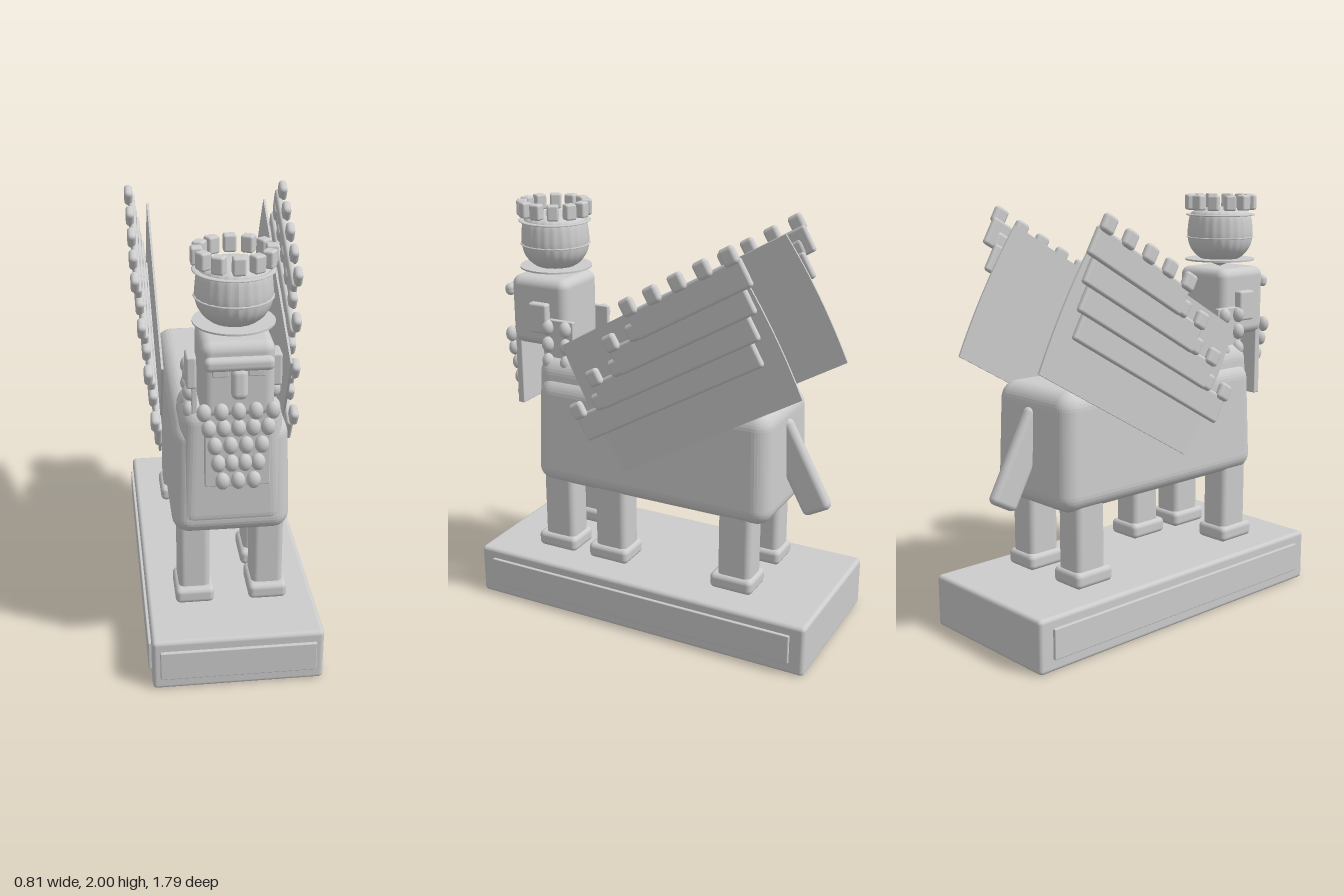
import * as THREE from 'three';
import { RoundedBoxGeometry } from 'three/addons/geometries/RoundedBoxGeometry.js';

const stone = new THREE.MeshStandardMaterial({ color: 0xcccccc });
stone.name = 'stone';

function add(parent, name, geometry, x = 0, y = 0, z = 0) {
  const mesh = new THREE.Mesh(geometry, stone);
  mesh.name = name;
  mesh.position.set(x, y, z);
  parent.add(mesh);
  return mesh;
}

function block(parent, name, w, h, d, x, y, z, r = 0.02) {
  const radius = Math.min(r, 0.49 * Math.min(w, h, d));
  return add(parent, name, new RoundedBoxGeometry(w, h, d, 3, radius), x, y, z);
}

function ball(parent, name, rx, ry, rz, x, y, z) {
  const mesh = add(parent, name, new THREE.SphereGeometry(1, 16, 12), x, y, z);
  mesh.scale.set(rx, ry, rz);
  return mesh;
}

// Narrows a geometry towards its top
function taper(geometry, height, topX, topZ) {
  const p = geometry.attributes.position;
  for (let i = 0; i < p.count; i++) {
    const t = p.getY(i) / height + 0.5;
    p.setX(i, p.getX(i) * (1 + (topX - 1) * t));
    p.setZ(i, p.getZ(i) * (1 + (topZ - 1) * t));
  }
  geometry.computeVertexNormals();
  return geometry;
}

function buildPlinth(parent) {
  const plinth = new THREE.Group();
  plinth.name = 'plinth';
  parent.add(plinth);
  block(plinth, 'plinthBlock', 0.78, 0.255, 1.775, 0, 0.1275, -0.005, 0.02);
  block(plinth, 'frontPanel', 0.71, 0.145, 0.03, 0, 0.132, 0.882, 0.005);
  for (const s of [-1, 1]) block(plinth, 'sidePanel', 0.03, 0.145, 1.63, s * 0.389, 0.132, -0.005, 0.005);
}

function buildBody(parent) {
  const body = new THREE.Group();
  body.name = 'body';
  parent.add(body);
  add(body, 'barrel', taper(new RoundedBoxGeometry(0.54, 0.55, 1.26, 5, 0.08), 0.55, 0.94, 0.97), 0, 0.905, -0.01);
  add(body, 'chest', taper(new RoundedBoxGeometry(0.51, 0.61, 0.33, 5, 0.08), 0.61, 0.87, 0.96), 0, 0.965, 0.457);
  block(body, 'neck', 0.2, 0.15, 0.1, 0, 1.28, 0.535);

  // Five legs: an extra striding leg on one side
  for (const [x, z] of [[0.17, 0.5], [-0.17, 0.5], [0.17, 0.205], [0.17, -0.465], [-0.17, -0.465]]) {
    block(body, 'leg', 0.145, 0.38, 0.17, x, 0.49, z, 0.03);
    block(body, 'foot', 0.18, 0.078, 0.218, x, 0.306, z + 0.008, 0.025);
  }

  block(body, 'tail', 0.06, 0.47, 0.15, 0, 0.86, -0.68, 0.028).rotation.x = 0.5;
}

function buildHead(parent) {
  const head = new THREE.Group();
  head.name = 'head';
  parent.add(head);
  block(head, 'face', 0.31, 0.34, 0.315, 0, 1.47, 0.637, 0.045);
  block(head, 'brow', 0.29, 0.06, 0.05, 0, 1.56, 0.815, 0.024);
  block(head, 'nose', 0.07, 0.135, 0.055, 0, 1.475, 0.82, 0.027).rotation.x = -0.12;

  for (const s of [-1, 1]) {
    block(head, 'eye', 0.07, 0.03, 0.012, s * 0.075, 1.51, 0.795, 0.005);
    block(head, 'ear', 0.045, 0.148, 0.102, s * 0.183, 1.457, 0.61, 0.012);
    // Curled side hair
    block(head, 'hairPanel', 0.025, 0.23, 0.17, s * 0.165, 1.338, 0.512, 0.006);
    for (const y of [1.245, 1.33, 1.415])
      for (const z of [0.465, 0.565]) ball(head, 'hairCurl', 0.03, 0.039, 0.031, s * 0.185, y, z);
  }

  // Beard of curls on a flat panel
  block(head, 'beardPanel', 0.28, 0.36, 0.035, 0, 1.16, 0.768, 0.005);
  const rows = [[5, 0.145, 1.34], [5, 0.125, 1.265], [4, 0.1, 1.183], [4, 0.085, 1.1], [3, 0.067, 1.015]];
  for (const [count, half, y] of rows)
    for (let i = 0; i < count; i++)
      ball(head, 'beardCurl', 0.031, 0.039, 0.028, -half + (2 * half * i) / (count - 1), y, 0.803);
}

function buildHeaddress(parent) {
  const hat = new THREE.Group();
  hat.name = 'headdress';
  hat.position.z = 0.622;
  parent.add(hat);

  // Fluted cap
  const profile = [[0, 1.64], [0.06, 1.665], [0.11, 1.69], [0.148, 1.735], [0.162, 1.79],
    [0.16, 1.85], [0.15, 1.9], [0.125, 1.922], [0.07, 1.935], [0, 1.94]];
  const curve = new THREE.SplineCurve(profile.map(([r, y]) => new THREE.Vector2(r, y)));
  const points = curve.getPoints(30).map((v) => new THREE.Vector2(Math.max(0, v.x), v.y));
  const cap = new THREE.LatheGeometry(points, 96);
  const p = cap.attributes.position;
  for (let i = 0; i < p.count; i++) {
    const f = 1 + 0.012 * Math.cos(24 * Math.atan2(p.getZ(i), p.getX(i)));
    p.setX(i, p.getX(i) * f);
    p.setZ(i, p.getZ(i) * f);
  }
  cap.computeVertexNormals();
  add(hat, 'cap', cap);

  // Thin brim and bands
  add(hat, 'brim', new THREE.CylinderGeometry(0.175, 0.175, 0.008, 48), 0, 1.676, 0);
  for (const [y, r] of [[1.787, 0.155], [1.9, 0.16]]) {
    const band = add(hat, 'band', new THREE.TorusGeometry(r, 0.015, 8, 48), 0, y, 0);
    band.rotation.x = Math.PI / 2;
    band.scale.z = 0.3;
  }

  // Crown of blocks
  for (let i = 0; i < 12; i++) {
    const a = (i / 12) * Math.PI * 2;
    block(hat, 'crownBlock', 0.055, 0.075, 0.05, 0.155 * Math.sin(a), 1.9625, 0.155 * Math.cos(a), 0.01).rotation.y = a;
  }
}

// Wing leaning back; local -z runs towards the tip
function buildWing(parent, s) {
  const wing = new THREE.Group();
  wing.name = s > 0 ? 'leftWing' : 'rightWing';
  wing.position.set(0, 1.34, -0.19);
  wing.rotation.x = Math.PI / 6;
  parent.add(wing);

  // Thin backing plate with bowed ends
  const shape = new THREE.Shape();
  shape.moveTo(-0.507, -0.333);
  shape.lineTo(0.507, -0.333);
  shape.quadraticCurveTo(0.54, 0, 0.507, 0.333);
  shape.lineTo(-0.507, 0.333);
  shape.quadraticCurveTo(-0.54, 0, -0.507, -0.333);
  const plate = new THREE.ExtrudeGeometry(shape, { depth: 0.01, bevelEnabled: false, curveSegments: 12 });
  plate.translate(0, 0, -0.005);
  add(wing, 'wingPlate', plate, s * 0.288, 0, 0).rotation.y = Math.PI / 2;

  // Four overlapping feather rows, each longer and lower than the one above
  for (let k = 0; k < 4; k++) {
    const start = -0.02 - 0.184 * k;
    const end = 0.577 - 0.051 * k;
    const w = 0.357 - 0.111 * k;
    const x = s * (0.365 - 0.02 * k);
    const length = end - start + 0.035;
    block(wing, 'featherRow', 0.032, 0.135, length, x, w - 0.088, -(end + start - 0.035) / 2, 0.014);
    for (let i = 0; i < 5 + k; i++)
      block(wing, 'featherTip', 0.04, 0.082, 0.075, x + s * 0.016, w, -(start + 0.14 * i), 0.018);
  }
}

export function createModel() {
  const model = new THREE.Group();
  model.name = 'wingedGuardianStatue';
  buildPlinth(model);
  buildBody(model);
  buildHead(model);
  buildHeaddress(model);
  for (const s of [-1, 1]) buildWing(model, s);
  return model;
}
